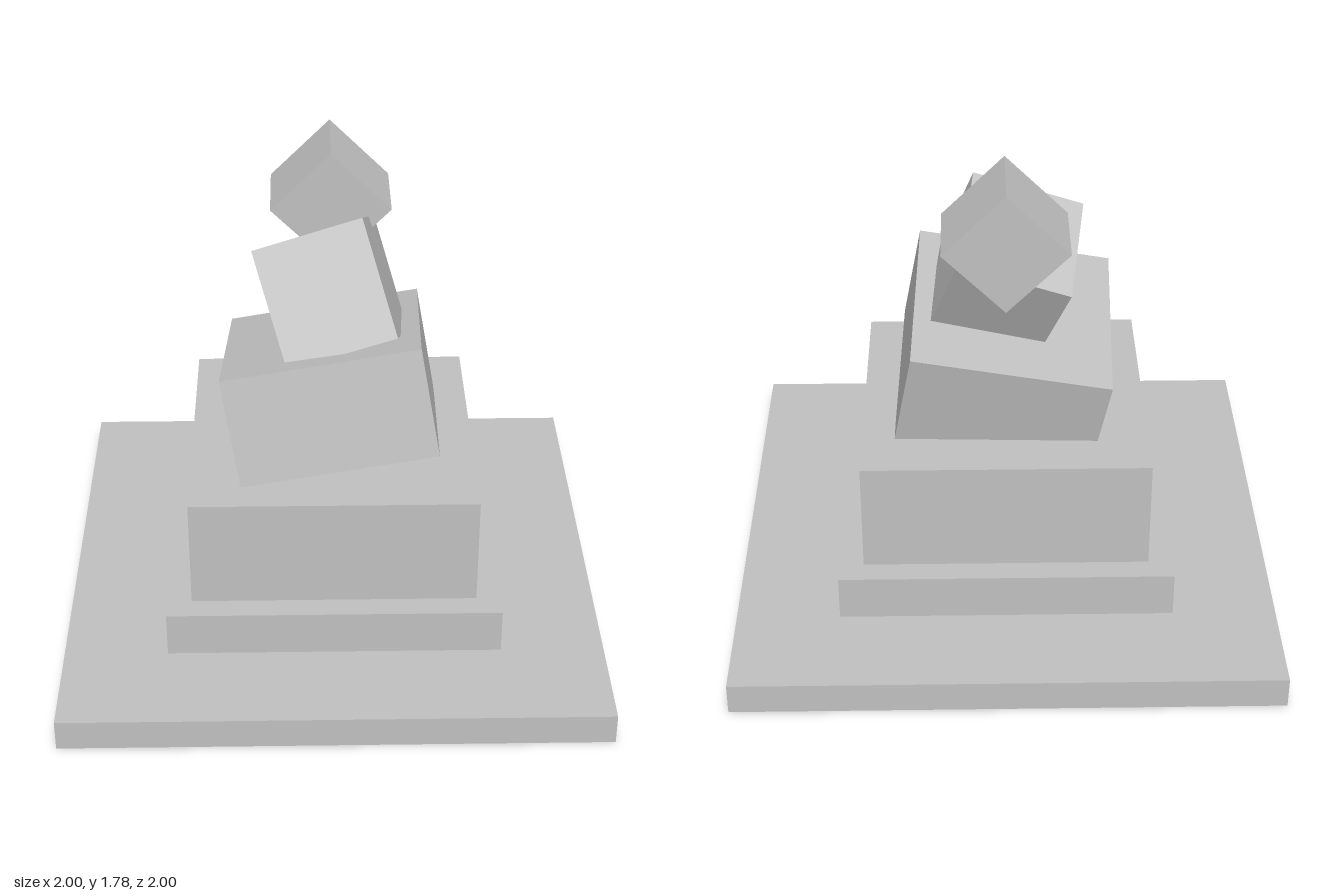
import * as THREE from 'three';

export function createModel() {
  const model = new THREE.Group();
  model.name = 'steppedBlockSculpture';

  const stone = new THREE.MeshStandardMaterial({ color: 0xc0c0c0 });
  stone.name = 'grey stone';

  // Adds a block of a given size and centre, tipped about x and then z
  function block(name, size, centre, tipX = 0, tipZ = 0) {
    const mesh = new THREE.Mesh(new THREE.BoxGeometry(...size), stone);
    mesh.name = name;
    mesh.position.set(...centre);
    mesh.rotation.set(
      THREE.MathUtils.degToRad(tipX), 0, THREE.MathUtils.degToRad(tipZ), 'ZYX');
    model.add(mesh);
  }

  // Level plinth
  block('basePlate', [2, 0.118, 2], [0, 0.059, 0]);
  block('lowerStep', [1.235, 0.172, 1.235], [0, 0.204, 0]);
  block('upperStep', [1.055, 0.422, 1.055], [0, 0.501, 0]);

  // Leaning blocks
  block('leaningBlock', [0.735, 0.415, 0.735], [0, 0.902, 0], -11.4, 10);
  block('neckBlock', [0.42, 0.45, 0.42], [0, 1.275, -0.051], -26, 18);

  // Cube balanced on its edge
  block('topCube', [0.316, 0.316, 0.316], [0, 1.555, -0.315], 0, 45);

  return model;
}
